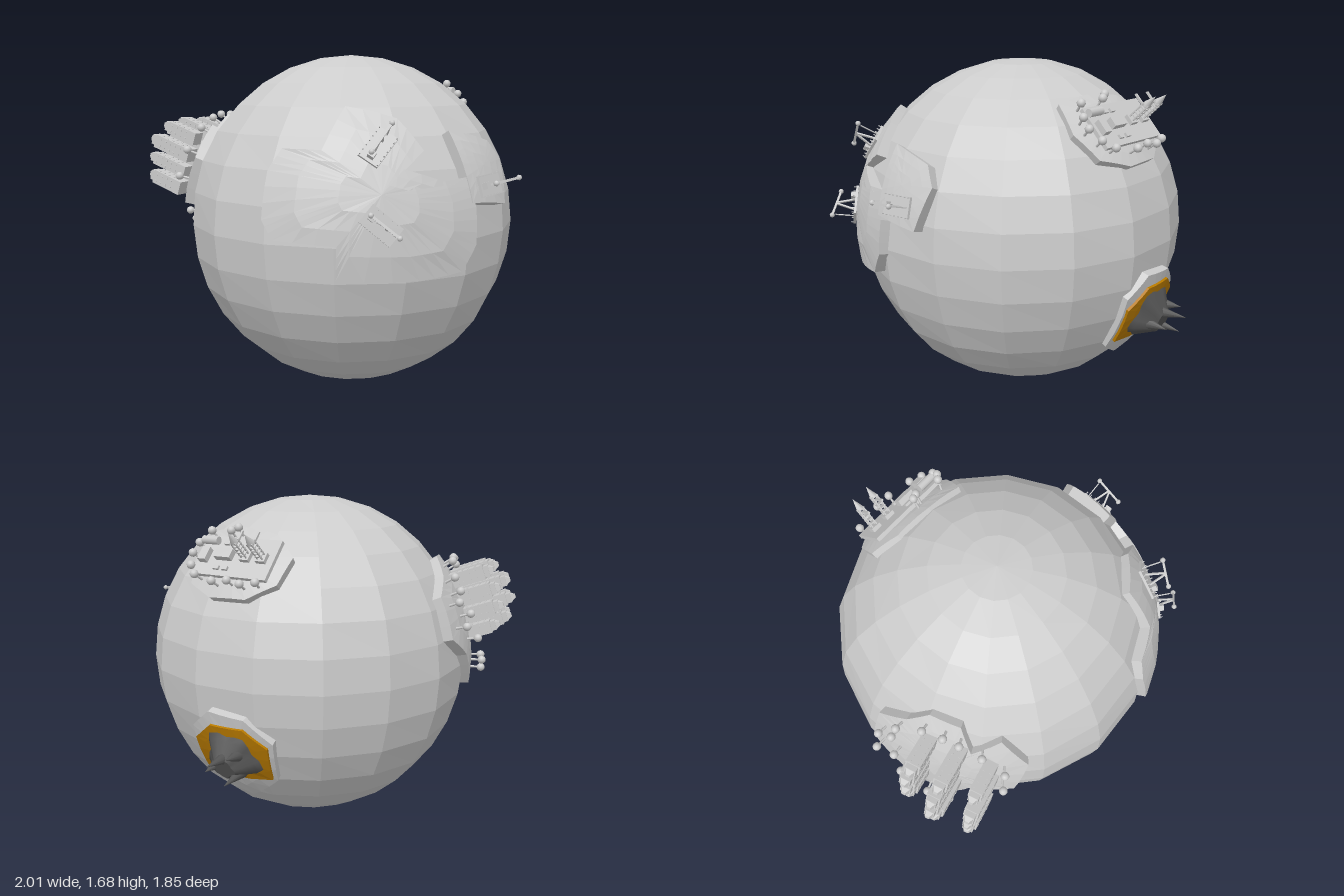
import * as THREE from 'three';

const C = new THREE.Vector3(0.075, 0.845, 0.06); // planet centre
const R = 0.84;
const UP = new THREE.Vector3(0, 1, 0);
const V = (x, y, z) => new THREE.Vector3(x, y, z);
const flat = new THREE.MeshStandardMaterial({ color: 0xcccccc, flatShading: true });
const smooth = new THREE.MeshStandardMaterial({ color: 0xcccccc });
const lava = new THREE.MeshStandardMaterial({ color: 0xb87a00, flatShading: true });
const rock = new THREE.MeshStandardMaterial({ color: 0x555555 });

let seed = 7;
const rnd = () => (seed = (seed * 16807) % 2147483647) / 2147483647;

function add(parent, name, geo, mat, x = 0, y = 0, z = 0) {
  const m = new THREE.Mesh(geo, mat);
  m.name = name;
  m.position.set(x, y, z);
  parent.add(m);
  return m;
}
const box = (p, name, w, h, d, x, y, z) => add(p, name, new THREE.BoxGeometry(w, h, d), flat, x, y + h / 2, z);

// East and north tangents at a direction on the planet
function tangents(n) {
  const east = UP.clone().cross(n).normalize();
  return [east, n.clone().cross(east)];
}

// Group standing on the planet: y outward, x east, -z north; u, v slide it along the tangents
function site(parent, name, dir, radius, u = 0, v = 0, spin = 0) {
  let n = dir.clone().normalize();
  const [e, t] = tangents(n);
  n = n.addScaledVector(e, u / radius).addScaledVector(t, v / radius).normalize();
  const [e2, t2] = tangents(n);
  const g = new THREE.Group();
  g.name = name;
  g.quaternion.setFromRotationMatrix(new THREE.Matrix4().makeBasis(e2, n, t2.negate()));
  g.rotateY(spin);
  g.position.copy(C).addScaledVector(n, radius);
  parent.add(g);
  return g;
}

// Directions from tangent offsets around one direction
function around(dir, uv) {
  const n = dir.clone().normalize();
  const [e, t] = tangents(n);
  return uv.map(([u, v]) => n.clone().addScaledVector(e, u / R).addScaledVector(t, v / R));
}

// Raised land following the sphere: rings from the middle to the outline, then a sloping wall
function plate(parent, name, dirs, radius, mat = flat) {
  let pts = dirs.map(d => d.clone().normalize());
  const mid = pts.reduce((a, p) => a.add(p), V(0, 0, 0)).normalize();
  const area = V(0, 0, 0);
  pts.forEach((p, i) => area.add(p.clone().cross(pts[(i + 1) % pts.length])));
  if (area.dot(mid) < 0) pts.reverse();
  const edge = [];
  pts.forEach((p, i) => [0, 1 / 3, 2 / 3].forEach(t => edge.push(p.clone().lerp(pts[(i + 1) % pts.length], t))));
  const ring = (t, r) => edge.map(p => mid.clone().lerp(p, t).normalize().multiplyScalar(r).add(C));
  const rings = [ring(0.001, radius), ring(0.35, radius), ring(0.7, radius), ring(1, radius), ring(1.04, R - 0.05)];
  const pos = [];
  for (let k = 0; k < rings.length - 1; k++) {
    edge.forEach((_, i) => {
      const j = (i + 1) % edge.length;
      const a = rings[k][i], b = rings[k][j], c = rings[k + 1][i], d = rings[k + 1][j];
      [a, c, d, a, d, b].forEach(p => pos.push(p.x, p.y, p.z));
    });
  }
  const g = new THREE.BufferGeometry();
  g.setAttribute('position', new THREE.Float32BufferAttribute(pos, 3));
  g.computeVertexNormals();
  return add(parent, name, g, mat);
}

function tree(parent, dir, radius, u, v) {
  const g = site(parent, 'tree', dir, radius, u, v);
  add(g, 'trunk', new THREE.CylinderGeometry(0.005, 0.007, 0.05, 6), smooth, 0, 0.02, 0);
  add(g, 'crown', new THREE.SphereGeometry(0.021, 10, 8), smooth, 0, 0.056, 0);
}

// Pump on a fenced pad: legs, rocking beam, round weights
function pump(parent, dir, radius, spin) {
  const g = site(parent, 'pump', dir, radius, 0, 0, spin);
  box(g, 'pad', 0.17, 0.012, 0.1, 0, -0.004, 0);
  for (const s of [-1, 1]) {
    const leg = box(g, 'leg', 0.009, 0.1, 0.009, s * 0.018, 0, 0);
    leg.rotation.z = s * 0.3;
    add(g, 'beamWeight', new THREE.SphereGeometry(0.013, 8, 6), smooth, s * 0.075, 0.1 + s * 0.015, 0);
    for (let i = -3; i <= 3; i++) box(g, 'fencePost', 0.004, 0.012, 0.004, i * 0.026, 0.008, s * 0.046);
  }
  const beam = box(g, 'beam', 0.155, 0.01, 0.012, 0, 0.095, 0);
  beam.rotation.z = 0.2;
  box(g, 'motor', 0.03, 0.025, 0.03, -0.055, 0.008, 0);
  box(g, 'pumpRod', 0.005, 0.1, 0.005, 0.07, 0, 0);
}

function tower(parent, dir, u, v, w, h) {
  const g = site(parent, 'cityTower', dir, 0.84, 0, 0);
  g.translateX(u).translateZ(-v);
  box(g, 'shaft', w, h + 0.02, w, 0, -0.02, 0);
  box(g, 'upperFloor', w * 0.75, 0.025, w * 0.75, 0, h, 0);
  const roof = add(g, 'roof', new THREE.CylinderGeometry(w * 0.2, w * 0.45, 0.022, 4), flat, 0, h + 0.035, 0);
  roof.rotation.y = Math.PI / 4;
  for (let y = 0.035; y < h - 0.01; y += 0.032) {
    for (const s of [-0.25, 0.25]) {
      box(g, 'windowPair', 0.009, 0.01, w + 0.005, s * w, y, 0);
      box(g, 'windowPair', w + 0.005, 0.01, 0.009, 0, y, s * w);
    }
  }
}

export function createModel() {
  const model = new THREE.Group();
  model.name = 'planetoid';

  // Faceted globe, slightly uneven
  const globe = new THREE.SphereGeometry(R, 16, 16);
  const p = globe.attributes.position;
  for (let i = 0; i < p.count; i++) {
    const q = V(p.getX(i), p.getY(i), p.getZ(i));
    const k = 0.985 + 0.007 * Math.sin(q.x * 7 + q.y * 5) * Math.cos(q.z * 6);
    p.setXYZ(i, q.x * k, q.y, q.z * k);
  }
  add(model, 'globe', globe, flat, C.x, C.y, C.z);

  // Large front land and small land beside it
  const land = [[0.085, 1.17, 0.86], [0.13, 1.26, 0.81], [0.31, 1.26, 0.78], [0.34, 1.44, 0.62], [0.55, 1.39, 0.53],
    [0.67, 1.25, 0.52], [0.63, 1.18, 0.63], [0.78, 1.1, 0.46], [0.82, 1.13, 0.38], [0.87, 1.0, 0.37], [0.87, 0.83, 0.38],
    [0.82, 0.72, 0.44], [0.7, 0.7, 0.62], [0.41, 0.71, 0.84], [0.42, 0.86, 0.85], [0.14, 0.875, 0.91], [0.085, 0.96, 0.91]];
  plate(model, 'frontLand', land.map(a => V(...a).sub(C)), 0.868);
  const isle = [[0.72, 1.33, 0.36], [0.81, 1.27, 0.12], [0.85, 1.18, 0.07], [0.92, 0.99, 0.14], [0.86, 1.02, 0.39], [0.8, 1.19, 0.38]];
  plate(model, 'sideLand', isle.map(a => V(...a).sub(C)), 0.872);
  pump(model, V(0.445, 0.425, 0.6), 0.868, 0.9);
  pump(model, V(0.505, 0.105, 0.69), 0.868, -0.7);
  pump(model, V(0.84, 0.25, 0.2), 0.872, 0.05);

  // City land with towers and trees
  const city = V(-0.94, 0.33, 0.02);
  plate(model, 'cityLand', around(city, [[-0.27, -0.1], [-0.25, 0.12], [-0.1, 0.2], [0, 0.3], [0.16, 0.3], [0.24, 0.15],
    [0.38, 0.28], [0.58, 0.12], [0.55, -0.18], [0.28, -0.2], [0.22, -0.36], [0.02, -0.42], [-0.1, -0.22]]), 0.865);
  for (let r = 0; r < 4; r++) {
    for (let c = 0; c < 3; c++) {
      const h = 0.13 + 0.08 * rnd() + (c === 1 ? 0.03 : 0);
      tower(model, city, 0.02 + c * 0.165 + 0.03 * (rnd() - 0.5), -0.13 + r * 0.092, 0.06 + 0.015 * rnd(), h);
    }
  }
  [[-0.2, 0.06], [-0.2, -0.06], [-0.13, 0.1], [-0.1, -0.02], [-0.12, 0.17], [0, 0.24], [0.1, 0.25], [0.18, 0.24], [0.3, 0.2],
    [0.44, 0.1], [0.46, -0.05], [0.08, -0.3], [0.14, -0.36], [0.2, -0.3], [-0.06, -0.15]]
    .forEach(([u, v]) => tree(model, city, 0.862, u, v));

  // Launch site: land, paved pad, lattice masts with pointed tops, buildings, trees
  const base = V(0.15, 0.58, -0.61);
  plate(model, 'launchLand', around(base, [[-0.3, 0.02], [-0.24, -0.14], [-0.08, -0.21], [0.12, -0.2], [0.25, -0.1],
    [0.27, 0.06], [0.14, 0.17], [-0.06, 0.2], [-0.26, 0.2]]), 0.858);
  const pad = site(model, 'launchSite', base, 0.85);
  box(pad, 'pavement', 0.42, 0.02, 0.22, 0, 0, 0);
  for (const x of [0.15, 0.06]) {
    for (const s of [-1, 1]) {
      box(pad, 'mastPost', 0.006, 0.13, 0.006, x - 0.013, 0.02, s * 0.013);
      box(pad, 'mastPost', 0.006, 0.13, 0.006, x + 0.013, 0.02, s * 0.013);
    }
    for (let i = 0; i < 6; i++) box(pad, 'mastRung', 0.034, 0.005, 0.034, x, 0.035 + i * 0.021, 0);
    add(pad, 'mastTip', new THREE.ConeGeometry(0.02, 0.06, 8), smooth, x, 0.175, 0);
    box(pad, 'mastArm', 0.01, 0.01, 0.08, x, 0.12, -0.035);
    box(pad, 'mastFoot', 0.05, 0.02, 0.05, x, 0.02, 0);
  }
  box(pad, 'hall', 0.09, 0.03, 0.05, -0.06, 0.02, 0);
  box(pad, 'shed', 0.045, 0.03, 0.07, -0.17, 0.02, 0.01);
  for (const z of [-0.07, 0.07]) for (const x of [-0.08, -0.03]) box(pad, 'crate', 0.03, 0.012, 0.02, x, 0.02, z);
  const tank = add(pad, 'tank', new THREE.CylinderGeometry(0.02, 0.02, 0.09, 10), smooth, -0.17, 0.04, -0.07);
  tank.rotation.z = Math.PI / 2;
  [[0.17, -0.13], [0.1, -0.15], [0.03, -0.14], [-0.04, 0.14], [-0.07, 0.12], [-0.2, 0.13], [-0.24, 0.06], [-0.25, 0.0],
    [-0.22, -0.07], [-0.17, -0.12], [-0.05, -0.15]].forEach(([u, v]) => tree(model, base, 0.856, u, v));

  // Volcano: land, lava field, rocky mound with horn-like peaks
  const vent = V(0.13, -0.365, -0.76);
  plate(model, 'volcanoLand', around(vent, [[-0.22, 0.16], [-0.1, 0.27], [0.1, 0.25], [0.23, 0.12], [0.2, -0.12],
    [0, -0.3], [-0.2, -0.16]]), 0.85);
  plate(model, 'lavaField', around(vent, [[-0.2, 0.1], [-0.09, 0.2], [0.09, 0.2], [0.2, 0.1], [0.18, -0.1], [-0.18, -0.11]]), 0.862, lava);
  const volcano = site(model, 'volcano', vent, 0.845, 0, 0.03);
  const mound = new THREE.CylinderGeometry(0.055, 0.14, 0.09, 20, 4);
  const mp = mound.attributes.position;
  for (let i = 0; i < mp.count; i++) {
    const a = Math.atan2(mp.getZ(i), mp.getX(i));
    const k = 1 + 0.12 * Math.sin(a * 5) + 0.06 * Math.sin(a * 3 + 1);
    mp.setX(i, mp.getX(i) * k);
    mp.setZ(i, mp.getZ(i) * k);
  }
  mound.computeVertexNormals();
  add(volcano, 'mound', mound, rock, 0, 0.05, 0);
  for (const [x, z, r, h, tilt] of [[0.0, -0.03, 0.035, 0.17, -0.45], [-0.06, 0.02, 0.035, 0.12, -0.35],
    [0.05, 0.06, 0.03, 0.15, -0.3], [0.06, -0.05, 0.03, 0.1, -0.5]]) {
    const peak = add(volcano, 'peak', new THREE.ConeGeometry(r, h, 10).translate(0, h / 2, 0), rock, x, 0.04, z);
    peak.rotation.x = tilt;
  }
  return model;
}
